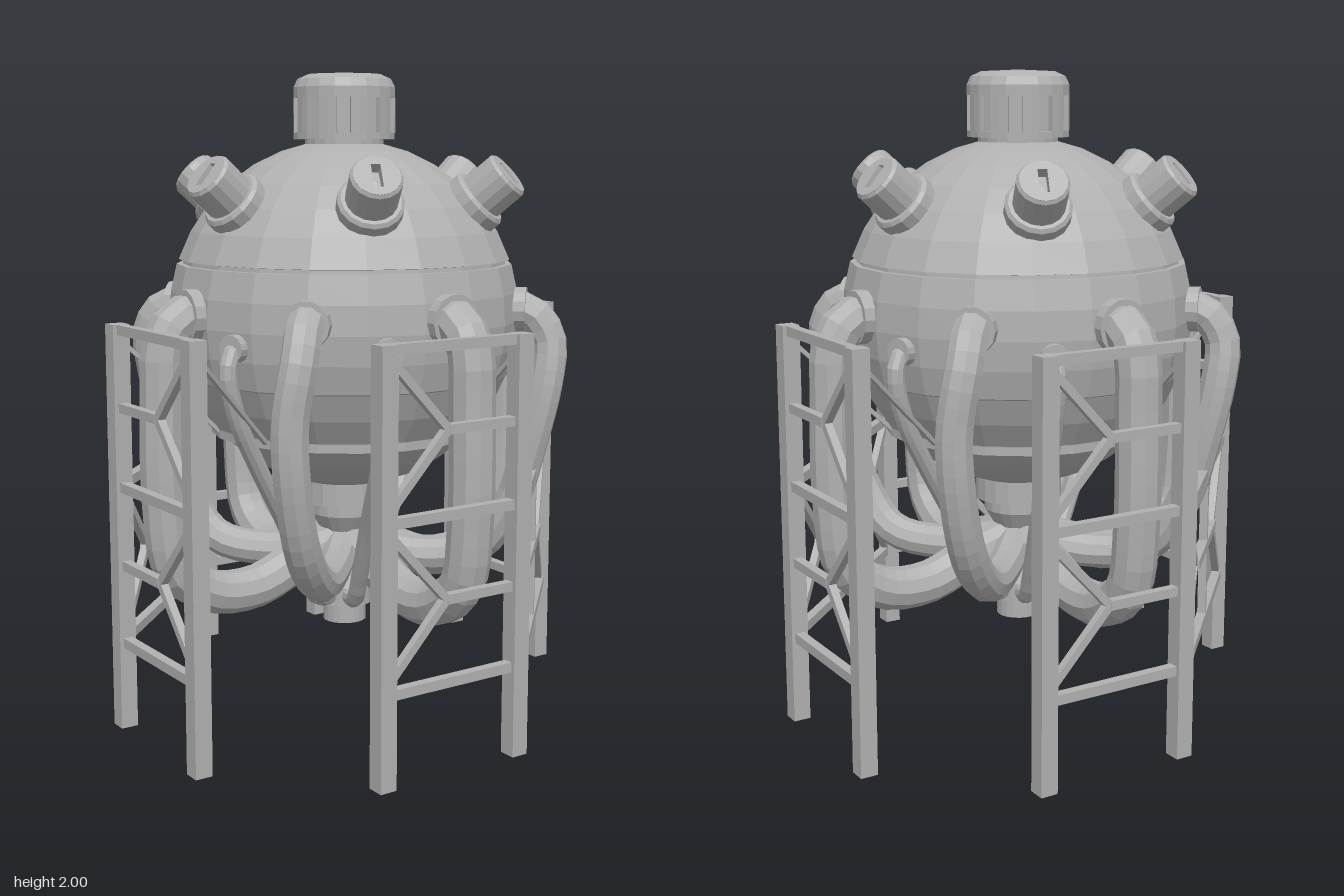
import * as THREE from 'three';

const V = (x, y, z) => new THREE.Vector3(x, y, z);
const grey = new THREE.MeshStandardMaterial({ color: 0xb0b0b0, flatShading: true });
grey.name = 'plain grey';

function add(parent, name, geometry) {
  const mesh = new THREE.Mesh(geometry, grey);
  mesh.name = name;
  parent.add(mesh);
  return mesh;
}

// Lathe from [radius, height] pairs listed bottom to top
function lathe(points, sides) {
  return new THREE.LatheGeometry(points.map(([r, y]) => new THREE.Vector2(r, y)), sides);
}

// Straight bar between two points
function bar(parent, name, a, b, w) {
  const mesh = add(parent, name, new THREE.BoxGeometry(w, w, a.distanceTo(b)));
  mesh.position.copy(a).lerp(b, 0.5);
  mesh.lookAt(b);
  return mesh;
}

// Group whose +x points outward at a given angle around the vessel
function spoke(parent, name, degrees) {
  const g = new THREE.Group();
  g.name = name;
  g.rotation.y = -THREE.MathUtils.degToRad(degrees);
  parent.add(g);
  return g;
}

const CY = 1.245, R = 0.55;
const hullRadius = (y) => Math.sqrt(R * R - (y - CY) ** 2);

function addVessel(root) {
  // Round hull with a seam groove and two raised lips
  const profile = [[0, CY - R]];
  const section = (y0, y1, n, offset = 0) => {
    const t0 = Math.asin((y0 - CY) / R), t1 = Math.asin((y1 - CY) / R);
    for (let i = 0; i <= n; i++) {
      const t = t0 + ((t1 - t0) * i) / n;
      profile.push([R * Math.cos(t) + offset, CY + R * Math.sin(t)]);
    }
  };
  section(0.71, 0.872, 3);
  profile.push([hullRadius(0.885) + 0.012, 0.872], [hullRadius(0.885) + 0.012, 0.897]);
  section(0.9, 1.058, 2);
  section(1.062, 1.41, 4, 0.006);
  profile.push([hullRadius(1.415) - 0.012, 1.41], [hullRadius(1.42) - 0.012, 1.422]);
  section(1.424, 1.785, 6, 0.004);
  profile.push([0, CY + R]);
  add(root, 'hull', lathe(profile, 20));

  // Lower hub that gathers the pipes
  add(root, 'lowerHub', lathe([[0, 0.24], [0.07, 0.24], [0.07, 0.3], [0.09, 0.3], [0.09, 0.36],
    [0.075, 0.4], [0.075, 0.54], [0.11, 0.6], [0.11, 0.64], [0.14, 0.64], [0.14, 0.73]], 20));
}

function addTopCap(root) {
  add(root, 'capNeck', lathe([[0.125, 1.76], [0.125, 1.81]], 20));
  add(root, 'capRim', lathe([[0, 1.795], [0.16, 1.795], [0.16, 1.815], [0, 1.815]], 20));
  // Notched wall: ten ribs with slots between them
  const shape = new THREE.Shape();
  const n = 10, step = (Math.PI * 2) / n;
  for (let i = 0; i < n; i++) {
    const a = i * step;
    [[0.16, 0], [0.16, 0.28], [0.16, 0.56], [0.142, 0.56], [0.142, 1]].forEach(([r, f], j) => {
      const x = r * Math.cos(a + f * step), y = r * Math.sin(a + f * step);
      if (i + j === 0) shape.moveTo(x, y); else shape.lineTo(x, y);
    });
  }
  const wall = new THREE.ExtrudeGeometry(shape, { depth: 0.11, bevelEnabled: false });
  wall.rotateX(-Math.PI / 2).translate(0, 1.814, 0);
  add(root, 'capSlottedWall', wall);
  add(root, 'capDome', lathe([[0, 1.922], [0.16, 1.922], [0.16, 1.955], [0.148, 1.98],
    [0.115, 1.995], [0, 2]], 20));
}

function addPorts(root) {
  const disc = new THREE.Shape().absarc(0, 0, 0.07, 0, Math.PI * 2);
  const slot = new THREE.Path([[-0.04, -0.014], [-0.04, 0.014], [0.04, 0.014], [0.04, -0.014]]
    .map(([x, y]) => new THREE.Vector2(x, y)));
  slot.closePath();
  disc.holes.push(slot);
  const knob = new THREE.ExtrudeGeometry(disc, { depth: 0.04, bevelEnabled: false, curveSegments: 8 });
  knob.rotateX(-Math.PI / 2).translate(0, 0.655, 0);
  for (let k = 0; k < 6; k++) {
    const s = spoke(root, 'port', 9 + 60 * k);
    const tilt = new THREE.Group();
    tilt.position.y = CY;
    tilt.rotation.z = -THREE.MathUtils.degToRad(50);
    s.add(tilt);
    add(tilt, 'portCollar', lathe([[0.1, 0.5], [0.1, 0.575], [0.09, 0.585], [0, 0.585]], 16));
    add(tilt, 'portBody', lathe([[0.078, 0.57], [0.078, 0.685], [0.069, 0.695]], 16));
    add(tilt, 'portSlotFloor', lathe([[0.07, 0.65], [0, 0.668]], 16));
    add(tilt, 'portSlottedFace', knob);
  }
}

function addPipes(root) {
  // Points are [outward, height, sideways]
  function pipe(name, angle, radius, points) {
    const g = spoke(root, name, angle);
    const curve = new THREE.CatmullRomCurve3(points.map((p) => V(p[0], p[1], p[2] || 0)));
    add(g, name + 'Tube', new THREE.TubeGeometry(curve, 30, radius, 10));
    const y = points[0][1], r = hullRadius(y);
    const collar = add(g, name + 'Collar', new THREE.CylinderGeometry(radius + 0.014, radius + 0.014, 0.07, 14));
    collar.rotation.z = Math.PI / 2;
    collar.position.set(r - 0.005, y, 0);
  }
  const diagonal = [[0.48, 1.27], [0.59, 1.265], [0.645, 1.2], [0.655, 1.05], [0.655, 0.7],
    [0.62, 0.5], [0.5, 0.41], [0.34, 0.4], [0.18, 0.46], [0.04, 0.5]];
  const side = [[0.48, 1.27], [0.59, 1.265], [0.65, 1.18], [0.645, 1.05, 0.02], [0.6, 0.85, 0.025],
    [0.54, 0.65, 0.01], [0.43, 0.5, -0.01], [0.25, 0.465, -0.01], [0.04, 0.5]];
  const front = [[0.48, 1.27], [0.59, 1.265], [0.655, 1.18], [0.675, 1.0, 0.025], [0.66, 0.8, 0.02],
    [0.59, 0.6, 0.005], [0.45, 0.48, -0.01], [0.25, 0.465, -0.01], [0.04, 0.5]];
  const thin = [[0.5, 1.19], [0.57, 1.18], [0.59, 1.12], [0.55, 0.98], [0.46, 0.83], [0.32, 0.62],
    [0.21, 0.43], [0.15, 0.345], [0.05, 0.335]];
  for (let k = 0; k < 4; k++) {
    pipe('diagonalPipe', 45 + 90 * k, 0.068, diagonal);
    pipe(k % 2 ? 'frontPipe' : 'sidePipe', 90 * k, 0.056, k % 2 ? front : side);
  }
  for (const a of [66, 114, 246, 294]) pipe('thinPipe', a, 0.028, thin);
}

function addFrame(root) {
  for (const sx of [-1, 1]) {
    for (const sz of [-1, 1]) {
      const inner = (y) => V(0.265 * sx, y, 0.8 * sz);
      const outer = (y) => V(0.6 * sx, y, 0.463 * sz);
      const node = (y) => outer(y).lerp(inner(y), 0.55);
      for (const p of [inner(0.625), outer(0.625)]) {
        const leg = add(root, 'leg', new THREE.BoxGeometry(0.054, 1.25, 0.054));
        leg.position.copy(p);
        leg.rotation.y = Math.PI / 4;
      }
      // Corner panel with two K braces
      for (const y of [1.235, 0.757, 0.272]) bar(root, 'crossBar', outer(y), inner(y), 0.03);
      for (const y of [1.0, 0.515]) {
        bar(root, 'shortBar', outer(y), node(y), 0.028);
        bar(root, 'brace', node(y), inner(y + 0.225), 0.024);
        bar(root, 'brace', node(y), inner(y - 0.225), 0.024);
      }
      // Thin stays from the legs to the hull lip
      bar(root, 'stay', inner(1.21), V(0.165 * sx, 0.89, 0.39 * sz), 0.013);
      bar(root, 'stay', outer(1.21), V(0.35 * sx, 0.89, 0.235 * sz), 0.013);
      // Side panel braces
      const mid = V(0.605 * sx, 0.515, 0.22 * sz);
      for (const y of [0.75, 0.28]) bar(root, 'sideBrace', mid, V(0.605 * sx, y, 0.45 * sz), 0.024);
    }
    // Side panel bars
    const x = 0.608 * sx;
    for (const [y, z] of [[0.757, 0.46], [0.515, 0.23], [0.272, 0.46]])
      bar(root, 'sideBar', V(x, y, -z), V(x, y, z), 0.03);
    bar(root, 'sidePost', V(x, 0.272, 0), V(x, 0.757, 0), 0.026);
  }
}

export function createModel() {
  const root = new THREE.Group();
  root.name = 'pressureVesselOnFrame';
  addVessel(root);
  addTopCap(root);
  addPorts(root);
  addPipes(root);
  addFrame(root);
  return root;
}
